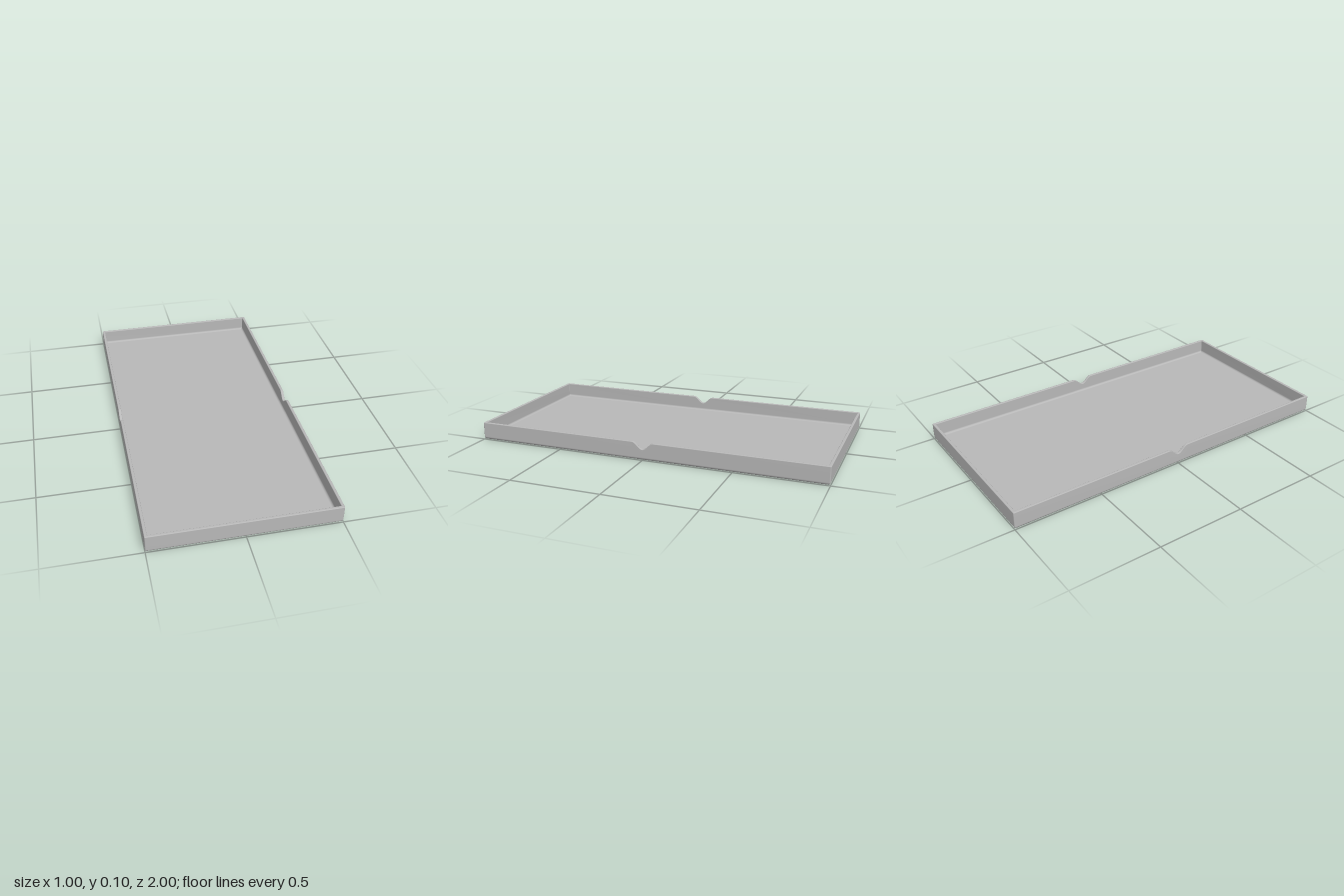
import * as THREE from 'three';

const HALF_X = 0.5, HALF_Z = 1, HEIGHT = 0.1;
const WALL = 0.016, FLOOR = 0.016, CORNER = 0.006;
const NOTCH_HALF = 0.062, NOTCH_DEPTH = 0.039;

// Height of the rim, dipping in a smooth thumb notch halfway along each long side
function rimHeight(z) {
  if (Math.abs(z) >= NOTCH_HALF) return HEIGHT;
  return HEIGHT - NOTCH_DEPTH * (0.5 + 0.5 * Math.cos(Math.PI * z / NOTCH_HALF));
}

// Wall section from the underside, up the outside, over the rim and down to the floor.
// d is the inset from the outer face; y counts from the ground, or from the rim if rim is set.
function wallSection() {
  const points = [];
  const arc = (cd, cy, r, from, to, steps, rim) => {
    for (let i = 0; i <= steps; i++) {
      const a = (from + (to - from) * i / steps) * Math.PI / 180;
      points.push({ d: cd - r * Math.cos(a), y: cy + r * Math.sin(a), rim });
    }
  };
  const bottomR = 0.016, rimR = 0.004, fillet = 0.012;
  arc(bottomR, bottomR, bottomR, -90, 0, 6, false);
  arc(rimR, -rimR, rimR, 0, 90, 4, true);
  arc(WALL - rimR, -rimR, rimR, 90, 180, 4, true);
  arc(WALL + fillet, FLOOR + fillet, fillet, 0, -90, 5, false);
  return points;
}

// Plan outline at a given inset: rounded corners, with extra points at the notches
function planOutline(d) {
  const hx = HALF_X - d, hz = HALF_Z - d, r = Math.max(CORNER - d, 0.002);
  const outline = [];
  const side = (s) => {
    for (let i = -14; i <= 14; i++) outline.push([s * hx, s * NOTCH_HALF * i / 14]);
  };
  const corner = (sx, sz, start) => {
    for (let i = 0; i <= 4; i++) {
      const a = (start + i / 4) * Math.PI / 2;
      outline.push([sx * (hx - r) + r * Math.cos(a), sz * (hz - r) + r * Math.sin(a)]);
    }
  };
  side(1);
  corner(1, 1, 0);
  corner(-1, 1, 1);
  side(-1);
  corner(-1, -1, 2);
  corner(1, -1, 3);
  return outline;
}

// Loft the section round the outline and close it at the centre of underside and floor
function trayGeometry() {
  const positions = [], index = [];
  const n = planOutline(0).length;
  const addCentre = (y) => {
    for (let k = 0; k < n; k++) positions.push(0, y, 0);
  };
  const section = wallSection();
  addCentre(0);
  for (const p of section) {
    for (const [x, z] of planOutline(p.d)) {
      positions.push(x, p.rim ? rimHeight(z) + p.y : p.y, z);
    }
  }
  addCentre(FLOOR);
  for (let j = 0; j < section.length + 1; j++) {
    for (let k = 0; k < n; k++) {
      const next = (k + 1) % n;
      const a = j * n + k, b = a + n, c = (j + 1) * n + next, d = j * n + next;
      if (j <= section.length - 1) index.push(a, b, c);
      if (j > 0) index.push(a, c, d);
    }
  }
  const geometry = new THREE.BufferGeometry();
  geometry.setAttribute('position', new THREE.Float32BufferAttribute(positions, 3));
  geometry.setIndex(index);
  geometry.computeVertexNormals();
  return geometry;
}

export function createModel() {
  const group = new THREE.Group();
  group.name = 'shallowTray';
  const grey = new THREE.MeshStandardMaterial({ color: 0xb8b8b8 });
  grey.name = 'grey';
  const tray = new THREE.Mesh(trayGeometry(), grey);
  tray.name = 'trayShell';
  group.add(tray);
  return group;
}
